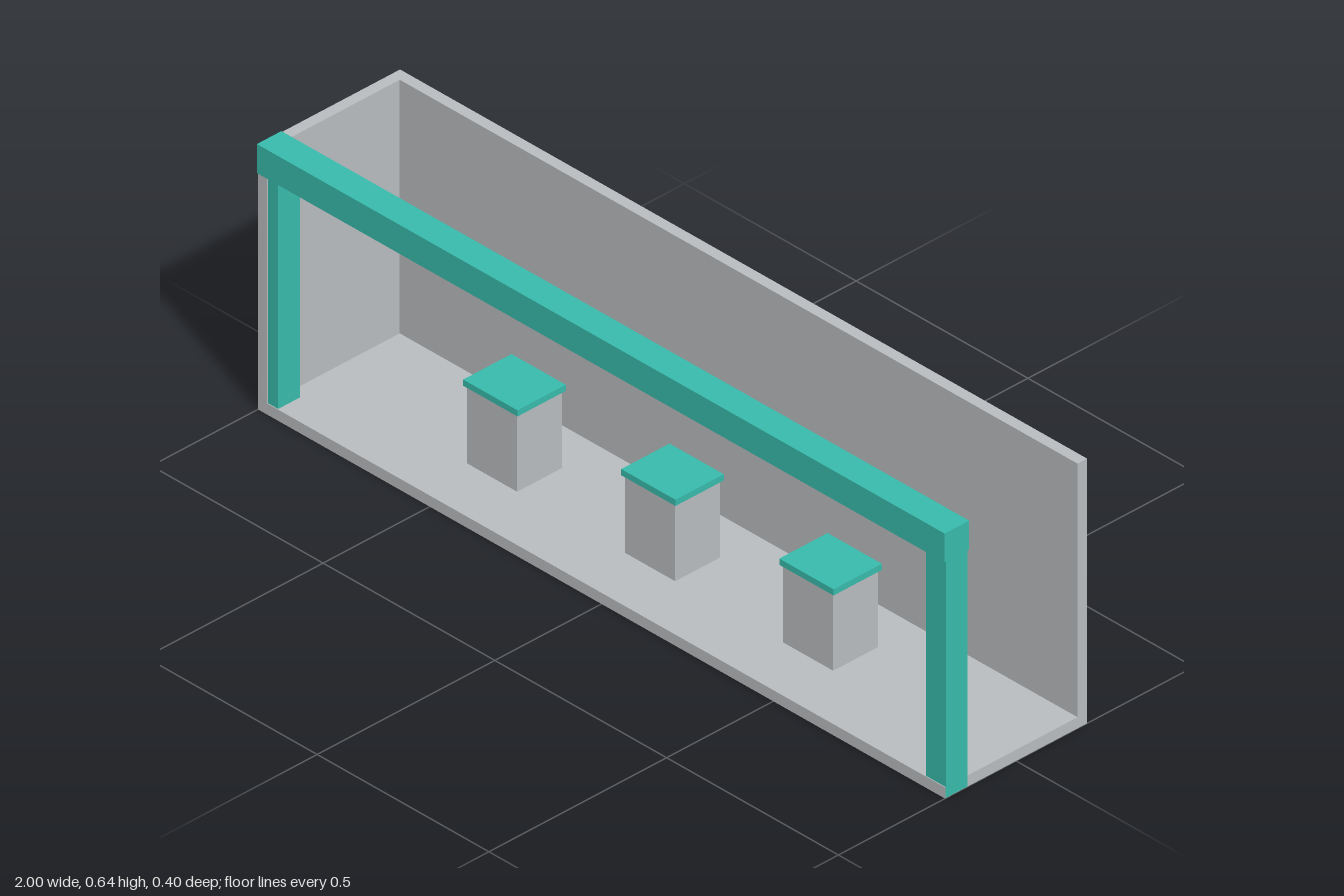
import * as THREE from 'three';

export function createModel() {
  const model = new THREE.Group();
  model.name = 'openBooth';

  const grey = new THREE.MeshStandardMaterial({ color: 0xbabdc0 });
  grey.name = 'grey panel';
  const teal = new THREE.MeshStandardMaterial({ color: 0x38bbac });
  teal.name = 'teal trim';

  // Box given by its lower and upper corners
  const box = (name, material, [x0, y0, z0], [x1, y1, z1], parent = model) => {
    const mesh = new THREE.Mesh(new THREE.BoxGeometry(x1 - x0, y1 - y0, z1 - z0), material);
    mesh.position.set((x0 + x1) / 2, (y0 + y1) / 2, (z0 + z1) / 2);
    mesh.name = name;
    parent.add(mesh);
  };

  const wall = 0.027, height = 0.64, depth = 0.2;

  // Shell: floor, back wall and one side wall; the other side stays open
  box('floor', grey, [-1, 0, -depth], [1, wall, depth]);
  box('backWall', grey, [-1, wall, -depth], [1, height, -depth + wall]);
  box('sideWall', grey, [-1, wall, -depth + wall], [-1 + wall, height, depth]);

  // Front frame: two posts and a slightly thicker beam
  box('rightPost', teal, [-0.999, 0.001, 0.137], [-0.943, 0.573, 0.198]);
  box('leftPost', teal, [0.943, 0.001, 0.137], [1.0005, 0.573, 0.198]);
  box('frontBeam', teal, [-1.001, 0.572, 0.133], [1.001, 0.642, 0.202]);

  // Three pedestals with overhanging tops
  for (const x of [-0.46, 0, 0.46]) {
    const pedestal = new THREE.Group();
    pedestal.name = 'pedestal';
    pedestal.position.x = x;
    box('pedestalBase', grey, [-0.073, wall, -0.063], [0.073, 0.214, 0.063], pedestal);
    box('pedestalTop', teal, [-0.079, 0.214, -0.068], [0.079, 0.229, 0.068], pedestal);
    model.add(pedestal);
  }

  return model;
}
